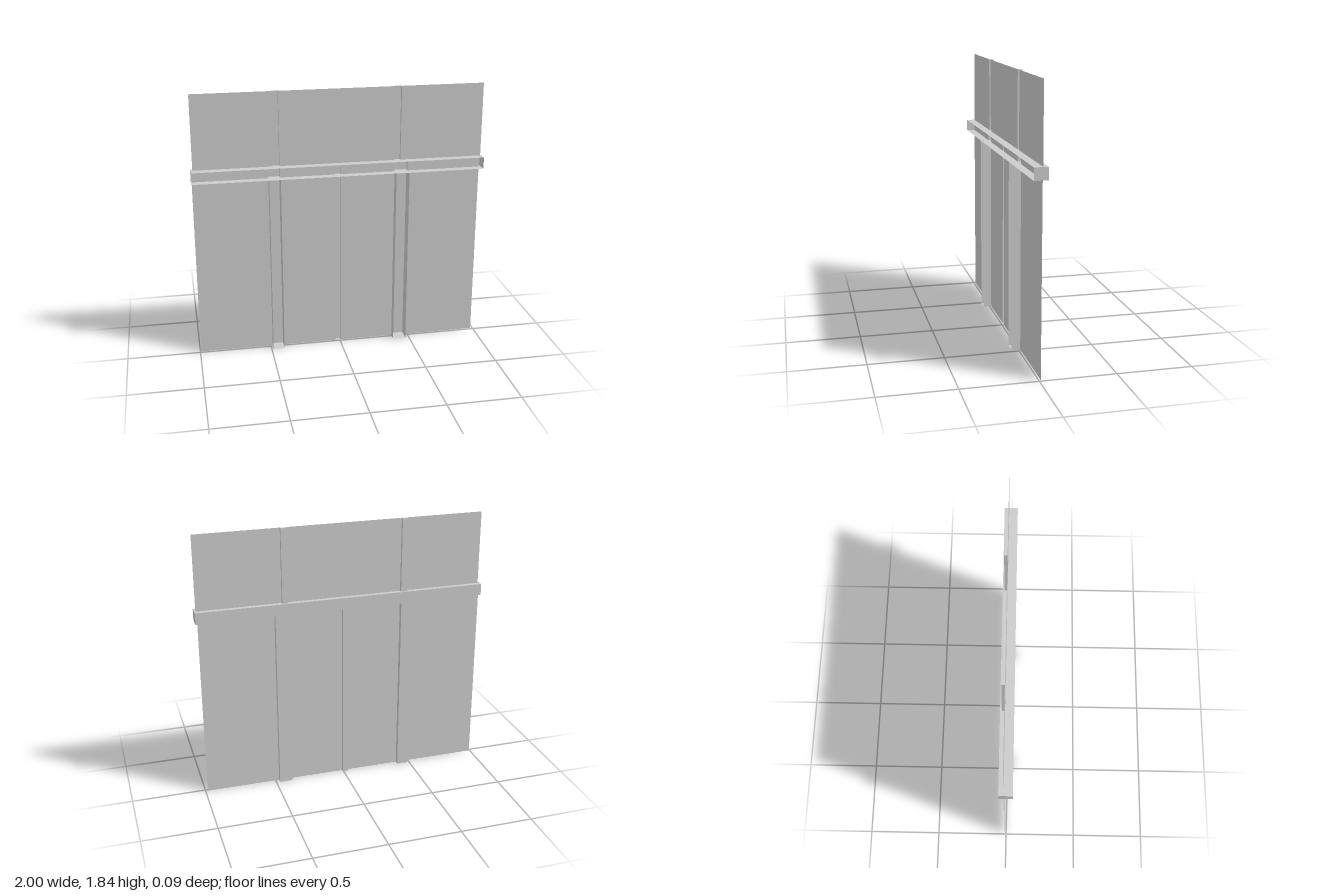
import * as THREE from 'three';

const HEIGHT = 1.84, BEAM_TOP = 1.33, BEAM_BOTTOM = 1.25;
const PANEL_Z = -0.013, BACK = -0.045, FRONT = 0.045;

const material = new THREE.MeshStandardMaterial({
  color: 0xcccccc, side: THREE.DoubleSide, flatShading: true,
});

export function createModel() {
  const group = new THREE.Group();

  const add = (name, geometry, x, y, z) => {
    const mesh = new THREE.Mesh(geometry, material);
    mesh.name = name;
    mesh.position.set(x, y, z);
    group.add(mesh);
  };

  // Box shell without some faces (0 +x, 1 -x, 2 +y, 3 -y, 4 +z, 5 -z)
  const channel = (name, [x0, x1], [y0, y1], [z0, z1], open = [4]) => {
    const geometry = new THREE.BoxGeometry(x1 - x0, y1 - y0, z1 - z0);
    const index = Array.from(geometry.index.array);
    geometry.setIndex(index.filter((_, i) => !open.includes(Math.floor(i / 6))));
    geometry.clearGroups();
    add(name, geometry, (x0 + x1) / 2, (y0 + y1) / 2, (z0 + z1) / 2);
  };

  // Thin sheets between the post slots
  const sheets = (name, spans, y0, y1) => {
    for (const [x0, x1] of spans) {
      add(name, new THREE.PlaneGeometry(x1 - x0, y1 - y0), (x0 + x1) / 2, (y0 + y1) / 2, PANEL_Z);
    }
  };
  sheets('upperPanel', [[-0.986, -0.455], [-0.409, 0.38], [0.422, 0.992]], BEAM_TOP, HEIGHT);
  sheets('lowerPanel', [[-0.995, -0.487], [-0.409, -0.032], [0.005, 0.383], [0.474, 0.985]], 0, BEAM_TOP);

  // Horizontal beam, open at the front
  channel('crossBeam', [-1, 1], [BEAM_BOTTOM, BEAM_TOP], [BACK, FRONT]);

  // Main posts, open at the front, continued inside the beam as recesses
  for (const span of [[-0.487, -0.409], [0.383, 0.474]]) {
    channel('mainPost', span, [0, BEAM_BOTTOM], [BACK, FRONT], [2, 4]);
    channel('postRecess', span, [BEAM_BOTTOM, BEAM_TOP], [BACK, PANEL_Z], [2, 3, 4, 5]);
  }

  // Slim channels behind the panels
  const slim = [-0.034, PANEL_Z];
  for (const span of [[-0.455, -0.409], [0.38, 0.422]]) {
    channel('upperPost', span, [BEAM_TOP, HEIGHT], slim, [3, 4]);
  }
  channel('middlePost', [-0.032, 0.005], [0, BEAM_TOP], slim, [2, 4]);

  return group;
}
